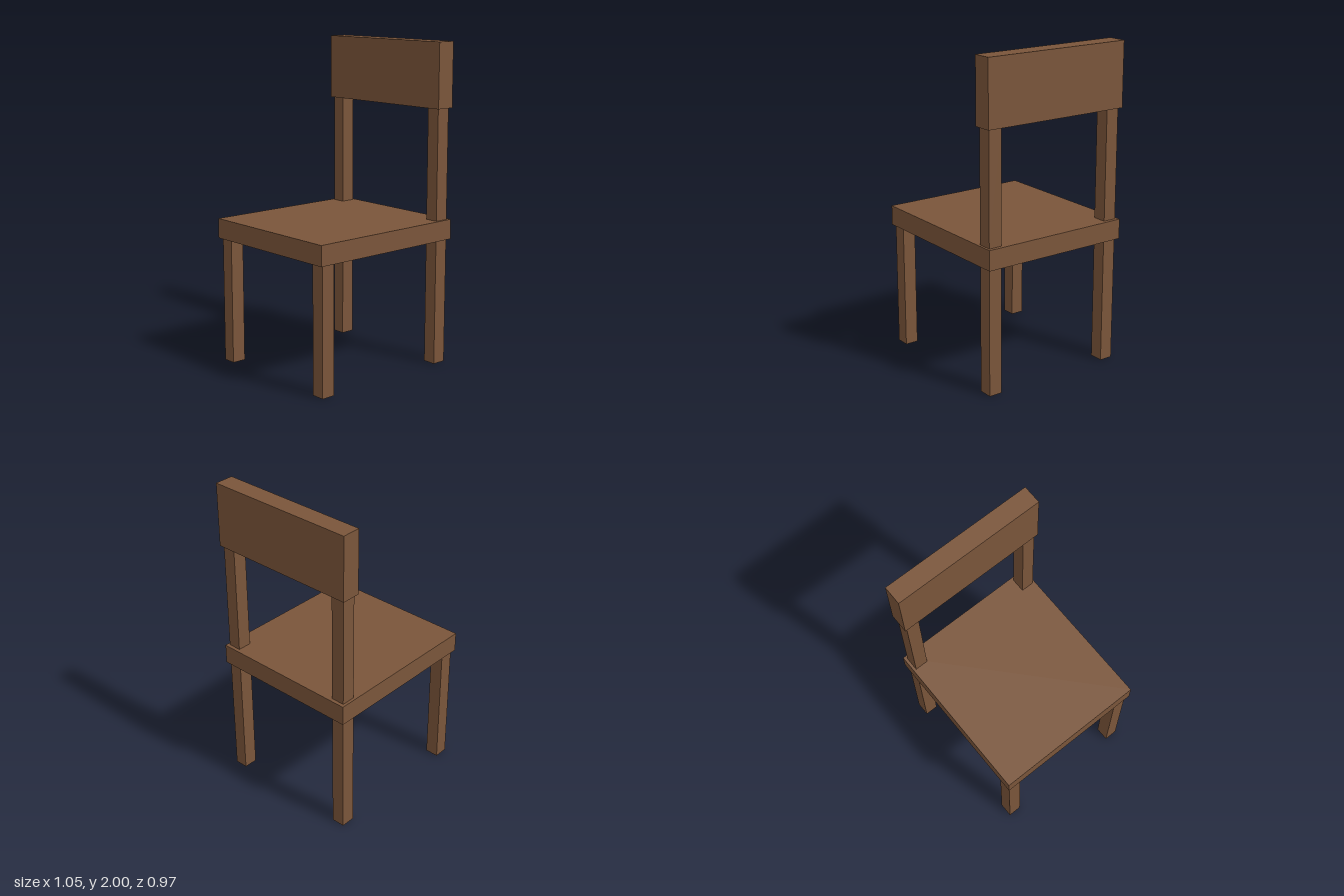
import * as THREE from 'three';

export function createModel() {
  const chair = new THREE.Group();
  chair.name = 'chair';
  const wood = new THREE.MeshStandardMaterial({ color: 0x7a553a, flatShading: true });

  // Box given by its extents along each axis
  function block(name, [x0, x1], [y0, y1], [z0, z1]) {
    const mesh = new THREE.Mesh(new THREE.BoxGeometry(x1 - x0, y1 - y0, z1 - z0), wood);
    mesh.position.set((x0 + x1) / 2, (y0 + y1) / 2, (z0 + z1) / 2);
    mesh.name = name;
    chair.add(mesh);
  }

  const width = [-0.485, 0.485];
  const frontX = [-0.508, -0.419];
  const backX = [0.415, 0.504];

  block('seat', [-0.528, 0.527], [0.788, 0.912], width);
  block('backrest', [0.401, 0.521], [1.6, 2], width);

  // Legs and backrest posts on both sides
  for (const [side, z] of [['Left', [-0.467, -0.382]], ['Right', [0.386, 0.47]]]) {
    block('frontLeg' + side, frontX, [0, 0.788], z);
    block('backLeg' + side, backX, [0, 0.788], z);
    block('backPost' + side, backX, [0.912, 1.6], z);
  }

  return chair;
}
